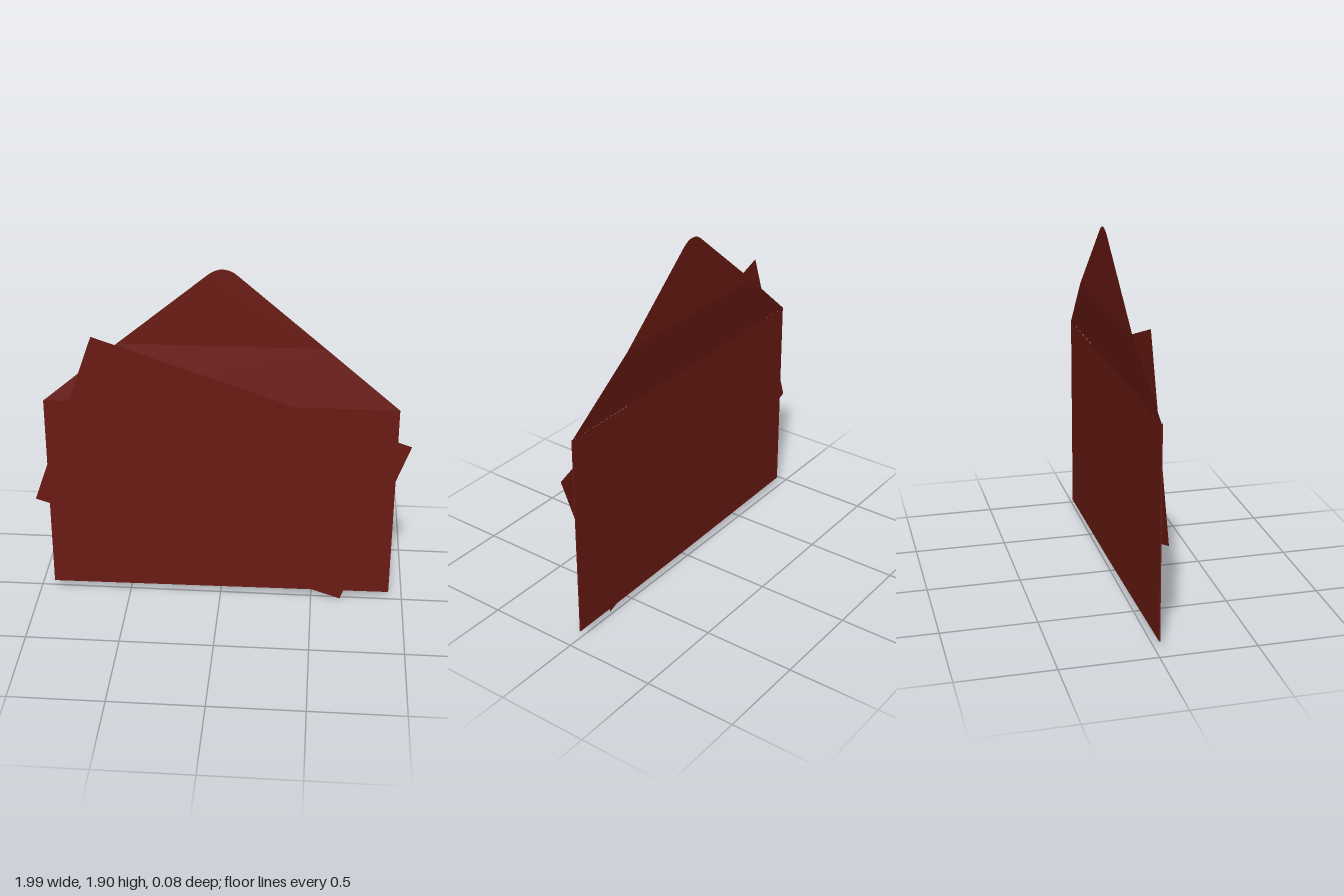
import * as THREE from 'three';

const W = 0.925, BOTTOM = 0.05, TOP = 1.17, BACK = 0.005, FRONT = 0.011;

export function createModel() {
  const model = new THREE.Group();
  const paper = new THREE.MeshStandardMaterial({
    color: 0x6b1a13, side: THREE.DoubleSide, flatShading: true,
  });

  const add = (name, geometry) => {
    const mesh = new THREE.Mesh(geometry, paper);
    mesh.name = name;
    model.add(mesh);
    return mesh;
  };

  // Flat sheet cut to a shape, its depth given by a rule of x and y
  const sheet = (name, shape, depth) => {
    const geometry = new THREE.ShapeGeometry(shape, 10);
    const p = geometry.attributes.position;
    for (let i = 0; i < p.count; i++) p.setZ(i, depth(p.getX(i), p.getY(i)));
    geometry.computeVertexNormals();
    return add(name, geometry);
  };
  const polygon = (points) => new THREE.Shape(points.map(([x, y]) => new THREE.Vector2(x, y)));

  // Back panel in two halves with a faint crease down the middle
  for (const [side, s] of [['left', 1], ['right', -1]]) {
    sheet(side + 'BackPanel',
      polygon([[0, BOTTOM], [s * W, BOTTOM], [s * W, TOP], [0, TOP]]),
      (x) => BACK - 0.003 * (1 - Math.abs(x) / W));

    // Side flap folded in towards the centre
    sheet(side + 'SideFlap',
      polygon([[s * W, BOTTOM], [s * W, TOP], [0, 0.73]]),
      () => FRONT);

    // Folded edge joining the side flap to the back
    add(side + 'FoldEdge', new THREE.BoxGeometry(0.004, TOP - BOTTOM, FRONT - BACK))
      .position.set(s * (W - 0.002), (TOP + BOTTOM) / 2, (FRONT + BACK) / 2);
  }

  // Bottom flap, folded up over the side flaps
  sheet('bottomFlap',
    polygon([[-W, BOTTOM], [W, BOTTOM], [0.05, 0.73], [-0.05, 0.73]]),
    () => FRONT + 0.002);
  add('bottomFoldEdge', new THREE.BoxGeometry(2 * W, 0.004, FRONT + 0.002 - BACK))
    .position.set(0, BOTTOM + 0.002, (FRONT + 0.002 + BACK) / 2);

  // Open top flap: leans back from the fold, then bends upright to a rounded tip
  const bendY = 1.49, bendX = 0.535;
  sheet('lowerTopFlap',
    polygon([[-W, TOP], [W, TOP], [bendX, bendY], [-bendX, bendY]]),
    (x, y) => THREE.MathUtils.mapLinear(y, TOP, bendY, BACK, -0.03));
  const tip = new THREE.Shape();
  tip.moveTo(-bendX, bendY);
  tip.lineTo(bendX, bendY);
  tip.lineTo(0.08, 1.877);
  tip.bezierCurveTo(0.035, 1.915, -0.02, 1.915, -0.065, 1.877);
  tip.closePath();
  sheet('upperTopFlap', tip,
    (x, y) => THREE.MathUtils.mapLinear(y, bendY, 1.905, -0.03, -0.035));

  // Letter card lying askew across the front
  const card = add('letterCard', new THREE.PlaneGeometry(1.755, 1.022));
  card.position.set(0, 0.777, 0.026);
  card.rotation.z = -0.337;

  // The whole set is turned very slightly
  model.rotation.y = 0.0135;
  const group = new THREE.Group();
  group.name = 'envelopeAndLetter';
  group.add(model);
  return group;
}
